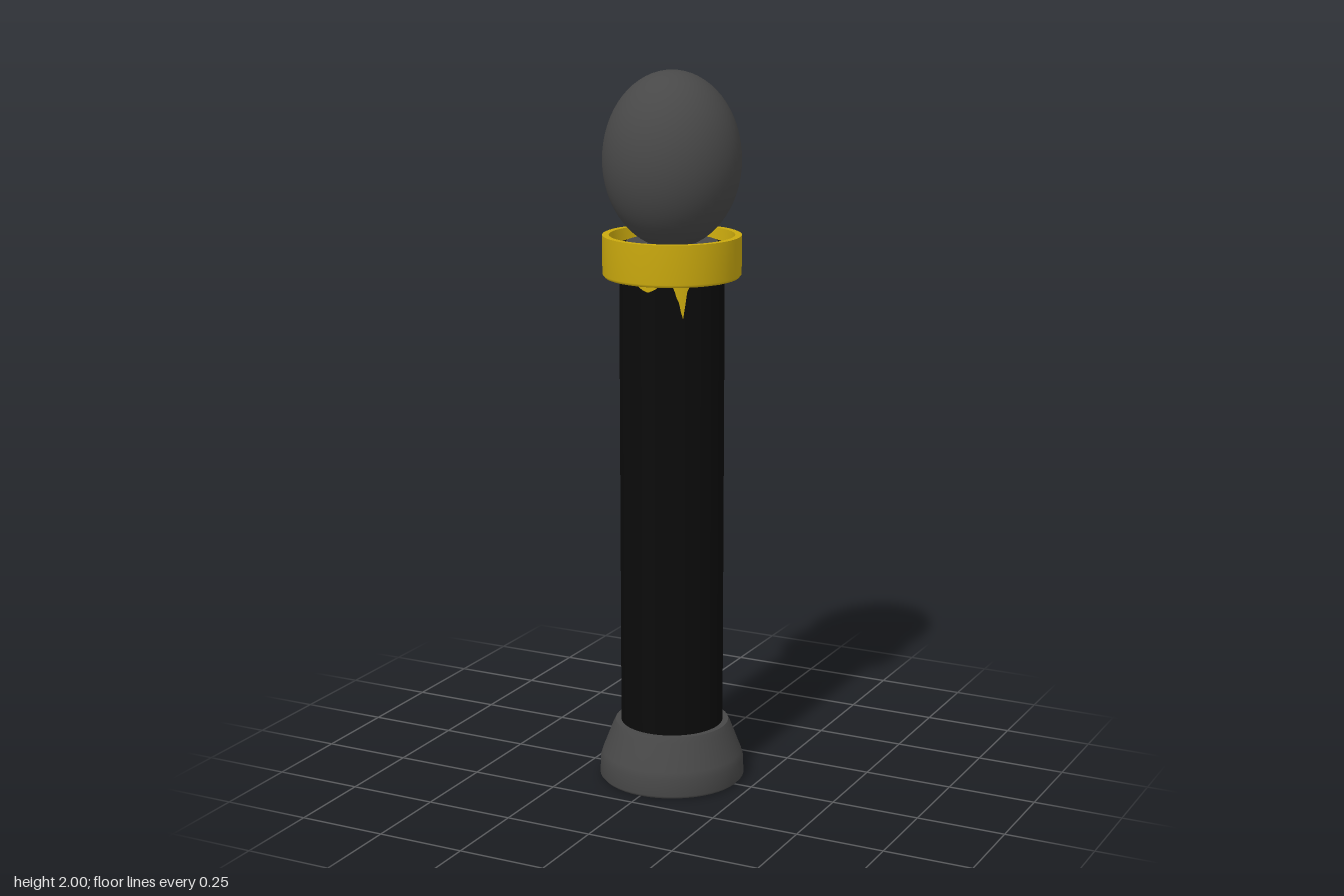
import * as THREE from 'three';

const mat = (name, color) => {
  const m = new THREE.MeshStandardMaterial({ color });
  m.name = name;
  return m;
};

// Lathe whose profile points marked with a third value become sharp edges
function turned(profile, sides = 48) {
  const pts = [];
  for (const [r, y, sharp] of profile) {
    pts.push(new THREE.Vector2(r, y));
    if (sharp) pts.push(new THREE.Vector2(r, y));
  }
  return new THREE.LatheGeometry(pts, sides);
}

export function createModel() {
  const grey = mat('stone grey', 0x484848);
  const black = mat('shaft black', 0x0b0b0b);
  const gold = mat('gold', 0xcbaa0e);
  const model = new THREE.Group();
  const add = (name, geometry, material, y = 0) => {
    const mesh = new THREE.Mesh(geometry, material);
    mesh.name = name;
    mesh.position.y = y;
    model.add(mesh);
    return mesh;
  };

  // Flared foot
  add('foot', turned([
    [0, 0], [0.198, 0, 1], [0.205, 0.008], [0.203, 0.055], [0.197, 0.075],
    [0.168, 0.15], [0.16, 0.166, 1], [0, 0.166],
  ]), grey);

  // Long shaft with a grey seat on its upper end
  add('shaft', new THREE.CylinderGeometry(0.144, 0.144, 1.37, 48), black, 0.845);
  add('seat', new THREE.CylinderGeometry(0.125, 0.125, 0.008, 48), grey, 1.533);

  // Collar, open at the top
  add('collar', turned([
    [0.14, 1.441, 1], [0.183, 1.441, 1], [0.19, 1.449], [0.19, 1.556, 1],
    [0.172, 1.556, 1], [0.166, 1.5, 1], [0.14, 1.5],
  ]), gold);

  // Gold run-off on the shaft: a thin sleeve with a ragged lower edge
  const drips = new THREE.CylinderGeometry(0.147, 0.147, 0.02, 160, 1, true);
  const lobes = [ // angle, half width, length
    [0.63, 0.13, 0.055], [0.66, 0.07, 0.098], [0.0, 0.22, 0.022], [1.6, 0.5, 0.012], [-2.4, 0.4, 0.008],
  ];
  const p = drips.attributes.position;
  for (let i = 0; i < p.count; i++) {
    if (p.getY(i) > 0) { p.setY(i, 1.45); continue; }
    const a = Math.atan2(p.getX(i), p.getZ(i));
    let drop = 0.004 + 0.003 * Math.sin(a * 9);
    for (const [at, half, len] of lobes) {
      const t = Math.abs(a - at) / half;
      if (t < 1) drop = Math.max(drop, len * Math.sqrt(1 - t));
    }
    p.setY(i, 1.441 - drop);
  }
  add('drips', drips, gold);

  // Egg-shaped finial
  const finial = add('finial', new THREE.SphereGeometry(1, 48, 32), grey, 1.76);
  finial.scale.set(0.189, 0.24, 0.189);

  return model;
}
